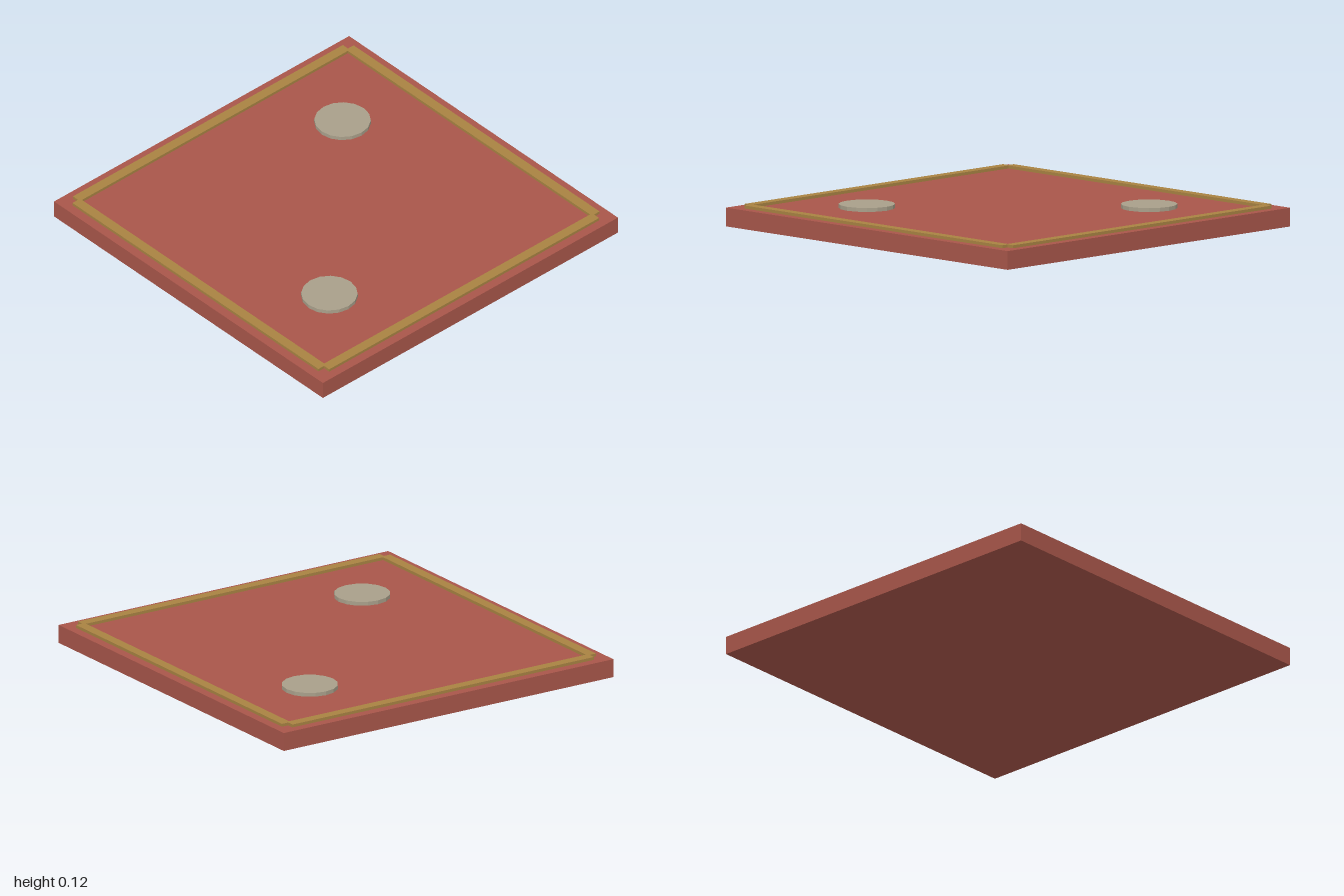
import * as THREE from 'three';

const TOP = 0.095; // upper face of the slab

function material(color) {
  return new THREE.MeshStandardMaterial({ color, flatShading: true });
}

export function createModel() {
  const model = new THREE.Group();
  const red = material(0xa8564a);
  const gold = material(0xa88242);
  const stone = material(0xa89f8a);

  const add = (name, geometry, mat, x, y, z) => {
    const mesh = new THREE.Mesh(geometry, mat);
    mesh.name = name;
    mesh.position.set(x, y, z);
    model.add(mesh);
    return mesh;
  };

  // Square slab
  add('slab', new THREE.BoxGeometry(2, TOP, 2), red, 0, TOP / 2, 0);

  // Raised border: four strips that overlap into notched corners
  const height = 0.015, width = 0.052, length = 1.83, offset = 0.927;
  const y = TOP + height / 2;
  for (const side of [-1, 1]) {
    add(side > 0 ? 'frontTrim' : 'backTrim',
      new THREE.BoxGeometry(length, height, width), gold, 0, y, side * offset);
    add(side > 0 ? 'leftTrim' : 'rightTrim',
      new THREE.BoxGeometry(width, height, length), gold, side * offset, y, 0);
  }

  // Two flat discs on the diagonal
  const discHeight = 0.02;
  for (const side of [-1, 1]) {
    add(side > 0 ? 'frontDisc' : 'backDisc',
      new THREE.CylinderGeometry(0.142, 0.142, discHeight, 16), stone,
      side * 0.5, TOP + discHeight / 2, side * 0.5);
  }

  return model;
}
